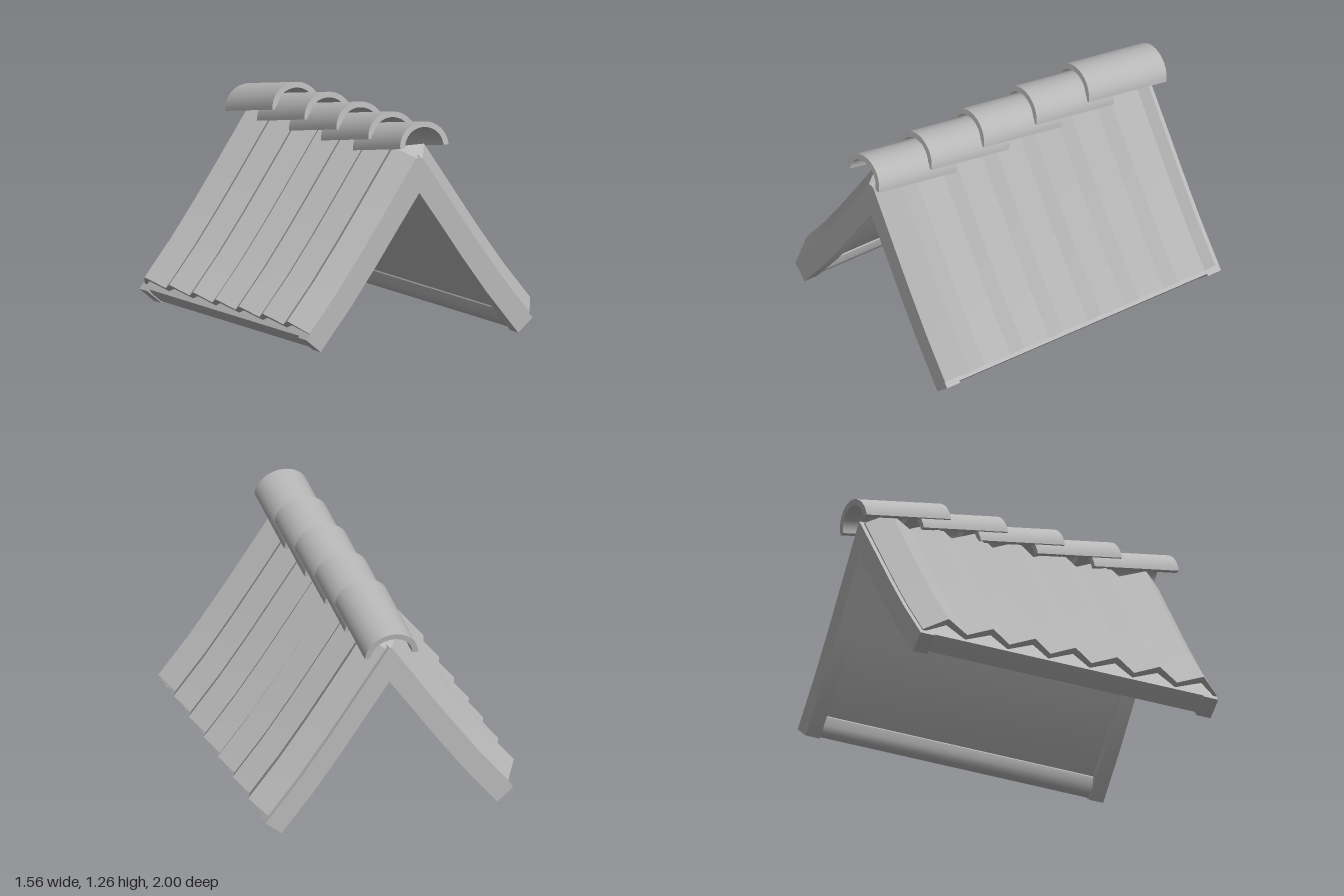
import * as THREE from 'three';
import { toCreasedNormals } from 'three/addons/utils/BufferGeometryUtils.js';

const clay = new THREE.MeshStandardMaterial({ color: 0xb8b8b8 });
clay.name = 'clay grey';

// Gently curved slope of the right half, from ridge to eave
const slope = [[0.016, 1.044], [0.24, 0.72], [0.37, 0.535], [0.525, 0.325], [0.7, 0.11]];
const rafterSlope = [...slope.slice(0, 4), [0.725, 0.08]];

// Fold lines of the sheet: valleys and ridges alternate
const folds = [-0.915, -0.79, -0.645, -0.51, -0.378, -0.243, -0.12, 0.01,
  0.14, 0.275, 0.41, 0.543, 0.68, 0.82, 0.941];

// Moves a slope outward by d along its normals
function lift(path, d) {
  return path.map(([x, y], i) => {
    const a = path[Math.max(i - 1, 0)], b = path[Math.min(i + 1, path.length - 1)];
    const dx = b[0] - a[0], dy = b[1] - a[1], len = Math.hypot(dx, dy);
    return [x - (dy / len) * d, y + (dx / len) * d];
  });
}

const mirror = (pts) => pts.map(([x, y]) => [-x, y]).reverse();

function extrude(name, pts, z0, z1) {
  const shape = new THREE.Shape(pts.map((p) => new THREE.Vector2(...p)));
  const geo = new THREE.ExtrudeGeometry(shape, { depth: z1 - z0, bevelEnabled: false });
  geo.translate(0, 0, z0);
  const mesh = new THREE.Mesh(toCreasedNormals(geo, 0.5), clay);
  mesh.name = name;
  return mesh;
}

// Inverted V between two distances from the slope line
function chevron(path, outer, inner) {
  const line = (d) => {
    const half = lift(path, d).slice(1);
    return [...mirror(half), [0, 1.06 + d / 0.57], ...half];
  };
  return [...line(outer), ...line(inner).reverse()];
}

// Zigzag sheet folded over the ridge, lofted along z; its two ends dip onto the rafters
function corrugatedSheet() {
  const rows = folds.length, pos = [], idx = [];
  let n = 0;
  folds.forEach((z, j) => {
    const isEnd = j === 0 || j === rows - 1, isRidge = j % 2 === 1;
    const top = lift(slope, isEnd ? 0.006 : isRidge ? 0.1 : 0.03);
    const under = lift(slope, isEnd ? -0.012 : isRidge ? 0.06 : 0);
    const loop = [...mirror(top), ...top, ...mirror(under).concat(under).reverse()];
    n = loop.length;
    loop.forEach(([x, y]) => pos.push(x, y, z));
  });
  for (let j = 0; j < rows - 1; j++) {
    for (let k = 0; k < n; k++) {
      const a = j * n + k, b = j * n + ((k + 1) % n), c = b + n, e = a + n;
      idx.push(a, e, c, a, c, b);
    }
  }
  const last = (rows - 1) * n;
  for (let k = 0; k < n / 2 - 1; k++) {
    const t0 = k, t1 = k + 1, b0 = n - 1 - k, b1 = n - 2 - k;
    idx.push(last + b0, last + b1, last + t1, last + b0, last + t1, last + t0);
    idx.push(b0, t1, b1, b0, t0, t1);
  }
  const geo = new THREE.BufferGeometry();
  geo.setAttribute('position', new THREE.Float32BufferAttribute(pos, 3));
  geo.setIndex(idx);
  const mesh = new THREE.Mesh(toCreasedNormals(geo.toNonIndexed(), 0.4), clay);
  mesh.name = 'corrugatedSheet';
  return mesh;
}

// Half-round tile profile
function archPoints() {
  const arc = (rx, ry) => Array.from({ length: 21 }, (_, i) => {
    const a = (i / 20) * Math.PI;
    return [rx * Math.cos(a), ry * Math.sin(a)];
  });
  return [...arc(0.155, 0.142), ...arc(0.122, 0.11).reverse()];
}

export function createModel() {
  const roof = new THREE.Group();
  roof.name = 'gableRoof';

  // Gable rafters at both ends
  const rafter = chevron(rafterSlope, 0, -0.12);
  roof.add(extrude('frontRafters', rafter, 0.85, 0.94));
  roof.add(extrude('backRafters', rafter, -0.94, -0.85));

  // Lining boards under the sheet
  roof.add(extrude('liningPanel', chevron(slope, -0.006, -0.08), -0.85, 0.85));

  // Eave beams between the rafters
  const beam = [[0.62, 0.208], [0.717, 0.09], [0.69, 0.06], [0.64, 0.018], [0.613, 0.033], [0.588, 0.07], [0.58, 0.12]];
  roof.add(extrude('leftEaveBeam', beam, -0.85, 0.85));
  roof.add(extrude('rightEaveBeam', mirror(beam), -0.85, 0.85));

  roof.add(corrugatedSheet());

  // Overlapping ridge tiles, each tipped up at the front
  for (let i = 0; i < 5; i++) {
    const tile = extrude('ridgeTile' + (i + 1), archPoints(), 0, 0.54);
    tile.position.set(0, 1.03, 0.465 - i * 0.36);
    tile.rotation.x = -0.166;
    roof.add(tile);
  }
  return roof;
}
